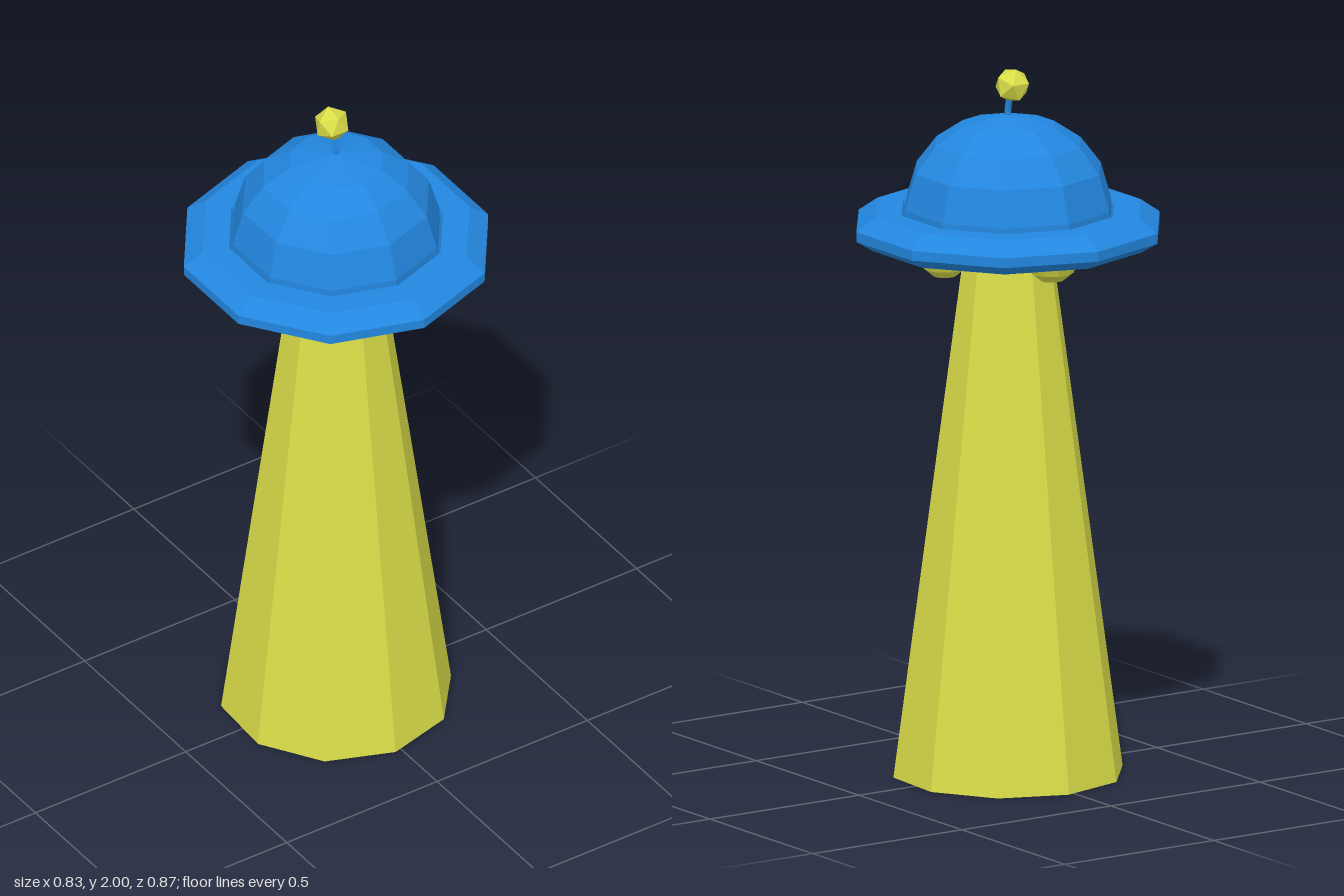
import * as THREE from 'three';

export function createModel() {
  const model = new THREE.Group();
  const blue = new THREE.MeshStandardMaterial({ name: 'saucerBlue', color: 0x2387e0, flatShading: true });
  const yellow = new THREE.MeshStandardMaterial({ name: 'lightYellow', color: 0xdade48, flatShading: true });

  const add = (name, geometry, material, x = 0, y = 0, z = 0) => {
    const mesh = new THREE.Mesh(geometry, material);
    mesh.name = name;
    mesh.position.set(x, y, z);
    model.add(mesh);
    return mesh;
  };
  // Ten-sided turned part, profile listed from bottom to top
  const turned = (profile) =>
    new THREE.LatheGeometry(profile.map(([r, y]) => new THREE.Vector2(r, y)), 10);

  // Bevelled disc with a shallow groove around the dome
  add('saucerRim', turned([
    [0, 1.503], [0.39, 1.503], [0.437, 1.532], [0.437, 1.56],
    [0.383, 1.598], [0.307, 1.598], [0.297, 1.58],
  ]), blue);

  add('dome', turned([
    [0.298, 1.575], [0.297, 1.61], [0.267, 1.712], [0.209, 1.787], [0.133, 1.838], [0, 1.866],
  ]), blue);

  // Bent antenna and its faceted tip
  const bend = new THREE.CatmullRomCurve3([
    new THREE.Vector3(0, 1.85, 0),
    new THREE.Vector3(0, 1.885, 0),
    new THREE.Vector3(0, 1.95, -0.021),
  ]);
  add('antennaStem', new THREE.TubeGeometry(bend, 4, 0.01, 6), blue);
  add('antennaTip', new THREE.IcosahedronGeometry(0.051, 0), yellow, 0, 1.952, -0.021)
    .rotation.x = Math.PI / 2 + 0.2;

  // Four round lights under the rim
  for (let i = 0; i < 4; i++) {
    const a = i * Math.PI / 2;
    add('undersideLight', new THREE.SphereGeometry(0.077, 10, 7), yellow,
      0.213 * Math.sin(a), 1.506, 0.213 * Math.cos(a));
  }

  // Tapered beam, turned slightly about its axis
  add('beam', new THREE.CylinderGeometry(0.122, 0.325, 1.505, 10), yellow, 0, 0.7525, 0)
    .rotation.y = -0.061;

  return model;
}
